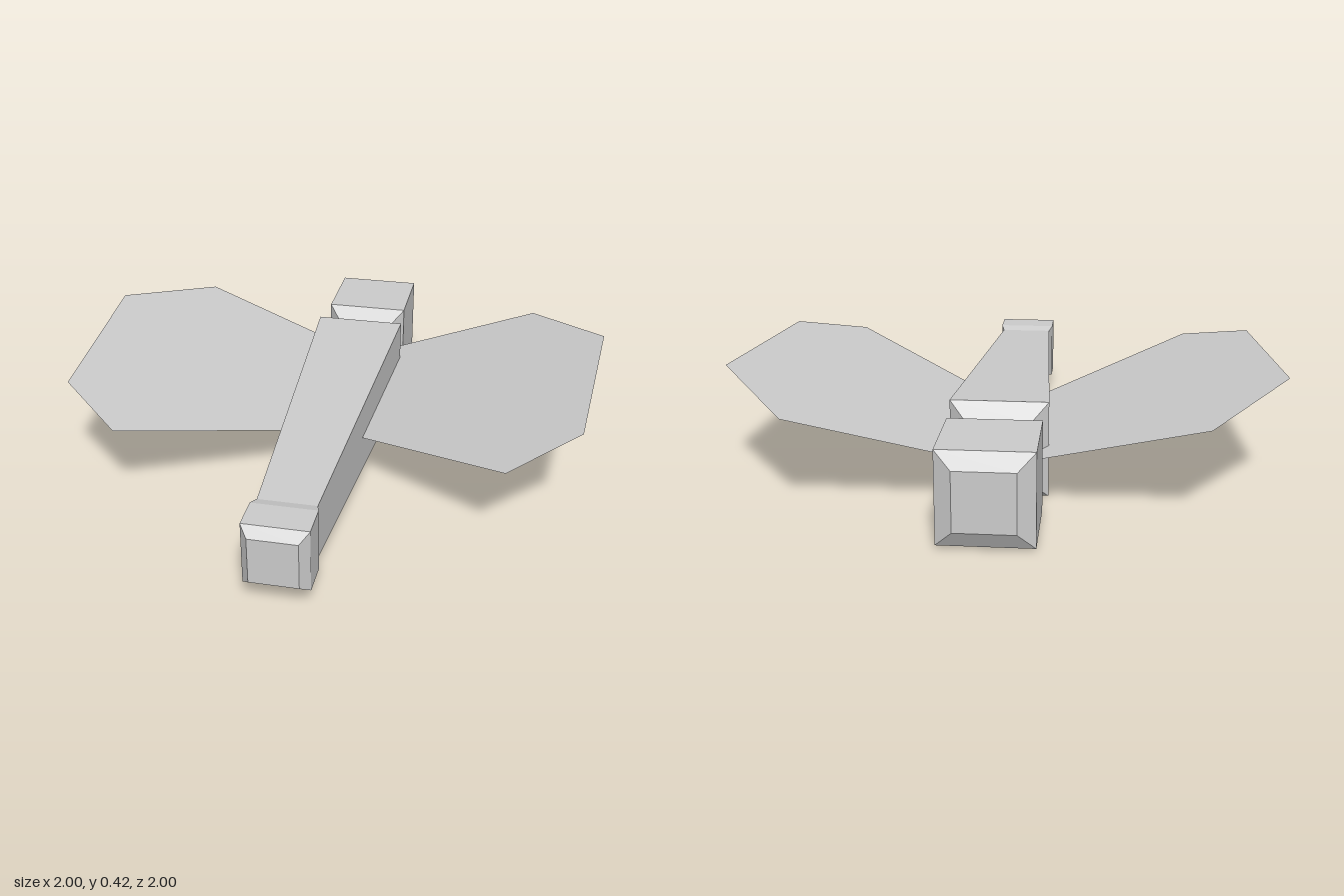
import * as THREE from 'three';

const material = new THREE.MeshStandardMaterial({ color: 0xcccccc, flatShading: true });
const wingMaterial = new THREE.MeshStandardMaterial({ color: 0xcccccc, flatShading: true, side: THREE.DoubleSide });

const CENTRE_Y = 0.173;

// Closed square-section solid along z; sections are [z, half width], from back to front
function squareLoft(name, sections) {
  const points = sections.map(([z, half]) => new THREE.Vector2(half * Math.SQRT2, z));
  points.unshift(new THREE.Vector2(0, sections[0][0]));
  points.push(new THREE.Vector2(0, sections[sections.length - 1][0]));
  const geometry = new THREE.LatheGeometry(points, 4, Math.PI / 4).toNonIndexed();
  geometry.rotateX(Math.PI / 2);
  geometry.computeVertexNormals();
  const mesh = new THREE.Mesh(geometry, material);
  mesh.name = name;
  mesh.position.y = CENTRE_Y;
  return mesh;
}

// Flat wing, outlined in [x, z] and tilted upwards away from the body
function wing(name, side) {
  const outline = [
    [0.05, 0.12], [0.69, 0.57], [0.935, 0.375],
    [1, -0.385], [0.71, -0.735], [0.05, -0.597],
  ];
  const shape = new THREE.Shape(outline.map(([x, z]) => new THREE.Vector2(side * x, -z)));
  const geometry = new THREE.ShapeGeometry(shape);
  geometry.rotateX(-Math.PI / 2);
  const position = geometry.attributes.position;
  for (let i = 0; i < position.count; i++) {
    position.setY(i, 0.14 + 0.28 * Math.abs(position.getX(i)));
  }
  geometry.computeVertexNormals();
  const mesh = new THREE.Mesh(geometry, wingMaterial);
  mesh.name = name;
  return mesh;
}

export function createModel() {
  const model = new THREE.Group();
  model.name = 'wingedInsect';

  // Head block, neck and tapering body with a flared tip
  model.add(
    squareLoft('head', [[-1, 0.103], [-0.967, 0.161], [-0.66, 0.161], [-0.61, 0.115]]),
    squareLoft('neck', [[-0.61, 0.115], [-0.548, 0.115]]),
    squareLoft('body', [[-0.548, 0.115], [-0.497, 0.173], [0.8, 0.103]]),
    squareLoft('tailTip', [[0.8, 0.103], [0.842, 0.115], [0.962, 0.115], [1, 0.085]]),
  );

  // Wings
  model.add(wing('leftWing', 1), wing('rightWing', -1));
  return model;
}
